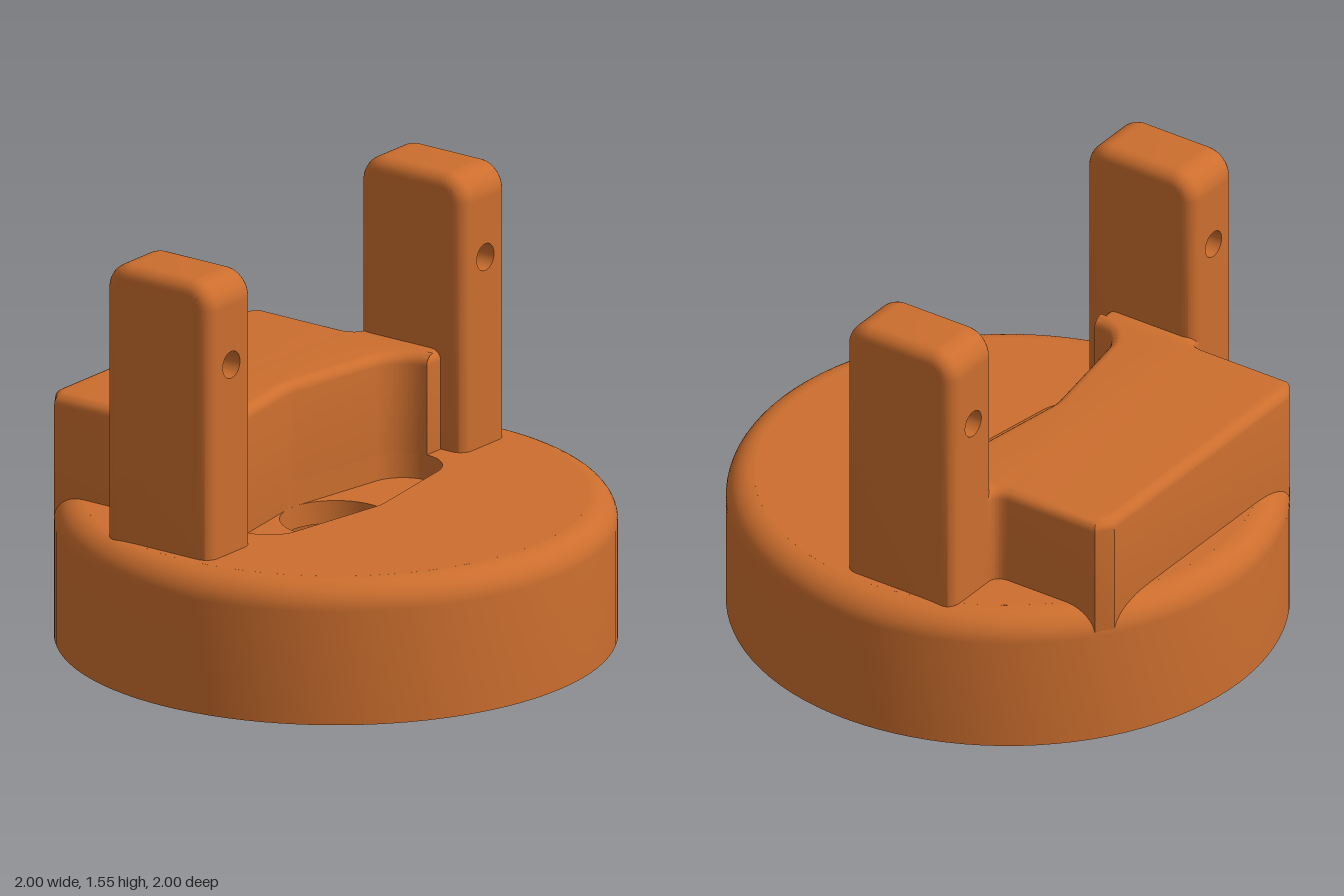
import * as THREE from 'three';
import { toCreasedNormals } from 'three/addons/utils/BufferGeometryUtils.js';

const TOP = 0.525, SLOT_FLOOR = 0.43, BORE_TOP = 0.345;
const HOLE_R = 0.2, TIP_R = 0.14, TIP_Z = 0.39;
const A = Math.asin((HOLE_R - TIP_R) / TIP_Z); // tangent angle of the slot sides

const orange = new THREE.MeshStandardMaterial({ color: 0xcc6e2e });
orange.name = 'orange';

function add(parent, name, geometry) {
  const mesh = new THREE.Mesh(geometry, orange);
  mesh.name = name;
  parent.add(mesh);
  return mesh;
}

// Extrude a plan outline upwards from y0 to y1
function slab(shape, y0, y1, bevel = 0) {
  const g = new THREE.ExtrudeGeometry(shape, {
    depth: y1 - y0 - 2 * bevel, curveSegments: 48, bevelEnabled: bevel > 0,
    bevelThickness: bevel, bevelSize: bevel, bevelOffset: -bevel, bevelSegments: 6,
  });
  g.rotateX(-Math.PI / 2).translate(0, y0 + bevel, 0);
  return toCreasedNormals(g, 0.6);
}

function disc(radius, hole) {
  const s = new THREE.Shape().absarc(0, 0, radius, 0, Math.PI * 2, false);
  s.holes.push(hole);
  return s;
}

function circlePath(x, y, r) {
  return new THREE.Path().absarc(x, y, r, 0, Math.PI * 2, true);
}

// Pointed oval slot: centre circle joined by tangents to two tip circles
function slotPath() {
  const p = new THREE.Path();
  p.absarc(0, 0, HOLE_R, -A, A, false);
  p.absarc(0, TIP_Z, TIP_R, A, Math.PI - A, false);
  p.absarc(0, 0, HOLE_R, Math.PI - A, Math.PI + A, false);
  p.absarc(0, -TIP_Z, TIP_R, Math.PI + A, Math.PI * 2 - A, false);
  p.closePath();
  return p;
}

function buildBase(parent) {
  const base = new THREE.Group();
  base.name = 'base';
  parent.add(base);

  // Outer ring with bore, bore chamfer and rounded top edge
  const profile = [[0.582, BORE_TOP], [0.582, 0.025], [0.6, 0], [1, 0], [1, 0.425]]
    .map(([x, y]) => new THREE.Vector2(x, y));
  for (let i = 1; i <= 10; i++) {
    const t = (i / 10) * Math.PI / 2;
    profile.push(new THREE.Vector2(0.9 + 0.1 * Math.cos(t), 0.425 + 0.1 * Math.sin(t)));
  }
  add(base, 'outerRing', toCreasedNormals(new THREE.LatheGeometry(profile, 96), 0.6));

  // Top plate with slot, floor plate with round hole
  add(base, 'slottedTop', slab(disc(0.901, slotPath()), SLOT_FLOOR, TOP));
  add(base, 'slotFloor', slab(disc(0.7, circlePath(0, 0, HOLE_R)), BORE_TOP, SLOT_FLOOR));
}

// Raised block on one side, hollowed by the slot and filleted into the posts
function buildBlock(parent) {
  const s = new THREE.Shape();
  s.moveTo(0, 0.53);
  s.lineTo(0, 0.7);
  s.lineTo(-0.33, 0.7);
  s.lineTo(-0.37, 0.65);
  s.quadraticCurveTo(-0.37, 0.6, -0.43, 0.6);
  s.lineTo(-0.798, 0.6);
  s.lineTo(-0.84, 0.54);
  s.lineTo(-0.84, -0.54);
  s.lineTo(-0.798, -0.6);
  s.lineTo(-0.43, -0.6);
  s.quadraticCurveTo(-0.37, -0.6, -0.37, -0.65);
  s.lineTo(-0.33, -0.7);
  s.lineTo(0, -0.7);
  s.lineTo(0, -0.53);
  s.absarc(0, -TIP_Z, TIP_R, -Math.PI / 2, -Math.PI + A, true);
  s.absarc(0, 0, HOLE_R, Math.PI + A, Math.PI - A, true);
  s.absarc(0, TIP_Z, TIP_R, Math.PI - A, Math.PI / 2, true);
  add(parent, 'raisedBlock', slab(s, 0.37, 0.895, 0.04));
}

// Upright post with rounded edges and a cross hole near the top
function buildPost(name, z) {
  const post = new THREE.Group();
  post.name = name;
  const w = 0.235, y0 = 0.42, y1 = 1.555, r = 0.1, b = 0.05, flat = 0.08;

  const s = new THREE.Shape();
  s.moveTo(-w, y0);
  s.lineTo(w, y0);
  s.lineTo(w, y1 - r);
  s.absarc(w - r, y1 - r, r, 0, Math.PI / 2, false);
  s.absarc(-w + r, y1 - r, r, Math.PI / 2, Math.PI, false);
  s.closePath();
  const g = new THREE.ExtrudeGeometry(s, {
    depth: flat * 2, curveSegments: 8, bevelThickness: b, bevelSize: b, bevelOffset: -b, bevelSegments: 6,
  });
  g.translate(0, 0, -flat);

  // Leave out the flat side walls; drilled plates replace them
  const p = toCreasedNormals(g, 0.6);
  const pos = p.attributes.position, nor = p.attributes.normal;
  const keptPos = [], keptNor = [];
  for (let i = 0; i < pos.count; i += 3) {
    const onWall = [0, 1, 2].every((k) => Math.abs(Math.abs(pos.getX(i + k)) - w) < 1e-4);
    if (onWall) continue;
    for (let k = i; k < i + 3; k++) {
      keptPos.push(pos.getX(k), pos.getY(k), pos.getZ(k));
      keptNor.push(nor.getX(k), nor.getY(k), nor.getZ(k));
    }
  }
  const body = new THREE.BufferGeometry();
  body.setAttribute('position', new THREE.Float32BufferAttribute(keptPos, 3));
  body.setAttribute('normal', new THREE.Float32BufferAttribute(keptNor, 3));
  add(post, 'postBody', body);

  const wall = new THREE.Shape();
  wall.moveTo(-flat, y0);
  wall.lineTo(flat, y0);
  wall.lineTo(flat, y1 - r);
  wall.lineTo(-flat, y1 - r);
  wall.closePath();
  wall.holes.push(circlePath(0, 1.23, 0.05));
  for (const side of [-1, 1]) {
    const plate = new THREE.ShapeGeometry(wall, 24);
    plate.rotateY(side * Math.PI / 2).translate(side * w, 0, 0);
    add(post, 'drilledWall', plate);
  }

  // Inward-facing lining of the cross hole
  const lining = new THREE.LatheGeometry([new THREE.Vector2(0.05, w), new THREE.Vector2(0.05, -w)], 48);
  lining.rotateZ(Math.PI / 2).translate(0, 1.23, 0);
  add(post, 'crossHole', lining);

  post.position.set(-0.135, 0, z);
  return post;
}

export function createModel() {
  const model = new THREE.Group();
  model.name = 'slottedPostMount';
  buildBase(model);
  buildBlock(model);
  model.add(buildPost('frontPost', 0.74), buildPost('backPost', -0.74));
  return model;
}
